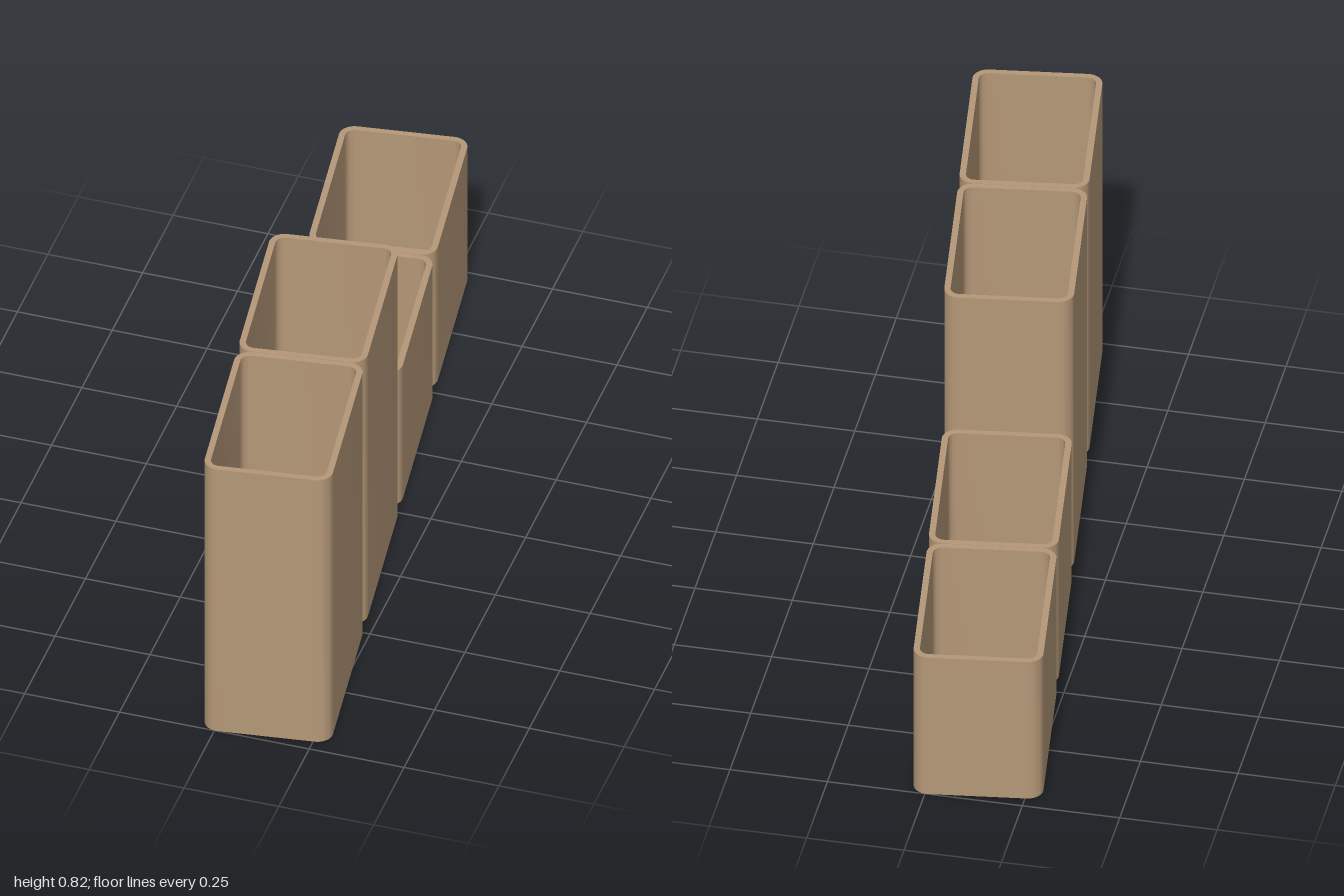
import * as THREE from 'three';
import { toCreasedNormals } from 'three/addons/utils/BufferGeometryUtils.js';

const WIDTH = 0.327, DEPTH = 0.495, RADIUS = 0.04, WALL = 0.016;
const FLOOR_Y = 0.05, FLOOR_THICKNESS = 0.016;

// Rounded rectangle, inset evenly from the outer footprint
function footprint(inset, Type = THREE.Shape) {
  const x = WIDTH / 2 - inset, y = DEPTH / 2 - inset, r = RADIUS - inset;
  const p = new Type();
  p.absarc(x - r, y - r, r, 0, Math.PI / 2);
  p.absarc(r - x, y - r, r, Math.PI / 2, Math.PI);
  p.absarc(r - x, r - y, r, Math.PI, Math.PI * 1.5);
  p.absarc(x - r, r - y, r, Math.PI * 1.5, Math.PI * 2);
  p.closePath();
  return p;
}

// Extrude a footprint upwards, smooth around the corners and sharp at the rims
function upright(shape, height) {
  const geo = new THREE.ExtrudeGeometry(shape, { depth: height, bevelEnabled: false, curveSegments: 10 });
  geo.rotateX(-Math.PI / 2);
  return toCreasedNormals(geo, 0.6);
}

function makeBin(height, material) {
  const bin = new THREE.Group();

  // Open sleeve
  const ring = footprint(0);
  ring.holes.push(footprint(WALL, THREE.Path));
  const walls = new THREE.Mesh(upright(ring, height), material);
  walls.name = 'walls';

  // Floor plate raised above the bottom rim
  const floor = new THREE.Mesh(upright(footprint(WALL), FLOOR_THICKNESS), material);
  floor.name = 'floor';
  floor.position.y = FLOOR_Y;

  bin.add(walls, floor);
  return bin;
}

export function createModel() {
  const model = new THREE.Group();
  model.name = 'binRow';
  const tan = new THREE.MeshStandardMaterial({ color: 0xb59878 });
  tan.name = 'tan';

  // Four bins in a slightly turned row, short ones at the back
  const row = new THREE.Group();
  row.name = 'row';
  row.rotation.y = THREE.MathUtils.degToRad(7.6);
  [0.42, 0.42, 0.825, 0.825].forEach((height, i) => {
    const bin = makeBin(height, tan);
    bin.name = height > 0.5 ? 'tallBin' : 'shortBin';
    bin.position.z = (i - 1.5) * 0.4965;
    row.add(bin);
  });
  model.add(row);
  return model;
}
